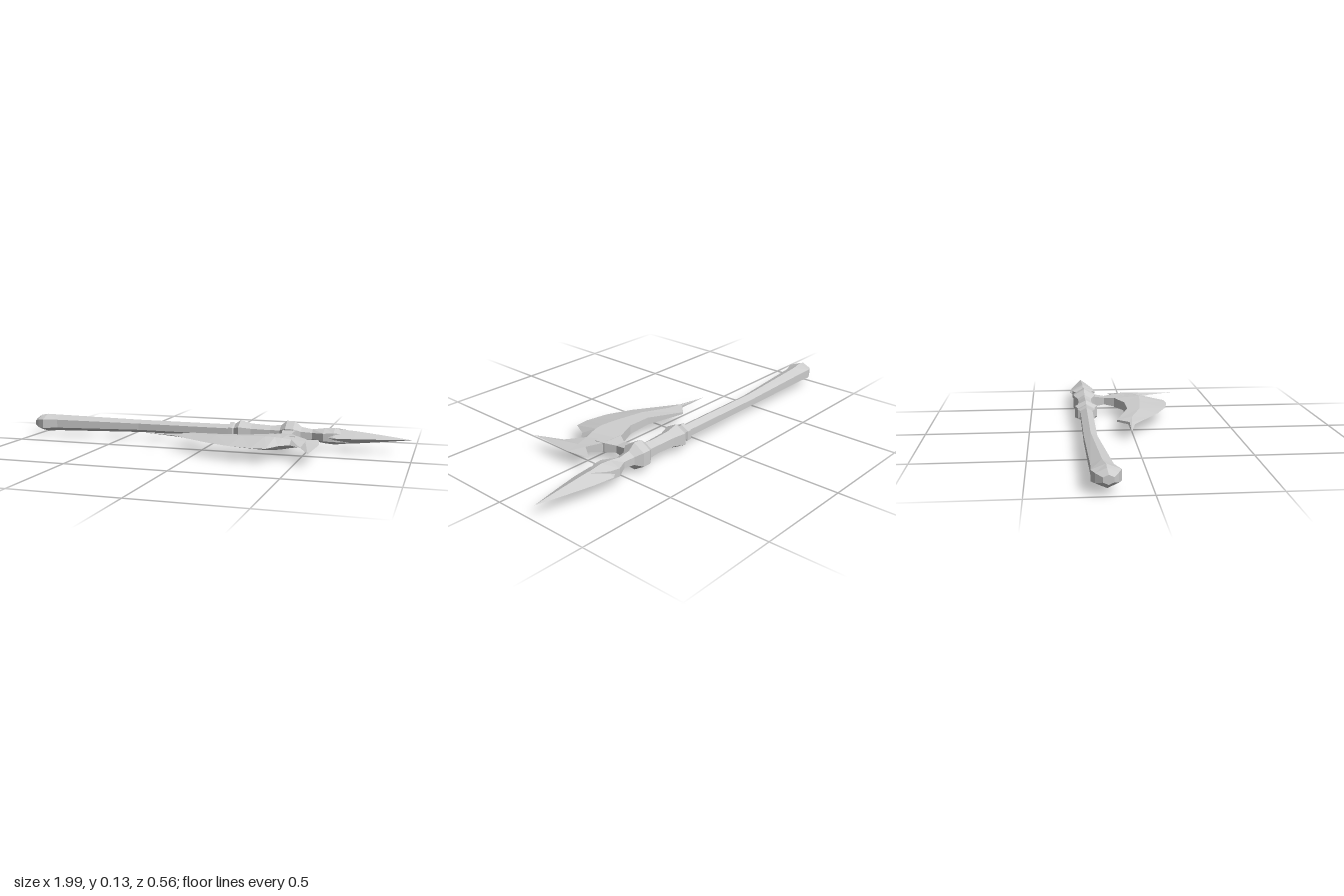
import * as THREE from 'three';

const CY = 0.067;   // height of the weapon's mid plane
const CZ = -0.217;  // depth of the shaft axis

// Skin a list of equal-length rings (counter-clockwise about the direction of travel), with end caps
function loft(rings) {
  const pos = [];
  const tri = (a, b, c) => pos.push(...a, ...b, ...c);
  const n = rings[0].length;
  for (let i = 0; i < rings.length - 1; i++) {
    for (let j = 0; j < n; j++) {
      const k = (j + 1) % n;
      const a = rings[i][j], b = rings[i][k], c = rings[i + 1][k], d = rings[i + 1][j];
      tri(a, b, c);
      tri(a, c, d);
    }
  }
  const first = rings[0], last = rings[rings.length - 1];
  for (let j = 1; j < n - 1; j++) {
    tri(first[0], first[j + 1], first[j]);
    tri(last[0], last[j], last[j + 1]);
  }
  const g = new THREE.BufferGeometry();
  g.setAttribute('position', new THREE.Float32BufferAttribute(pos, 3));
  g.computeVertexNormals();
  return g;
}

// Ring round the x axis: [x, y radius, z radius, z centre]
const ringX = (sides) => ([x, ry, rz, zc = CZ]) =>
  Array.from({ length: sides }, (_, j) => {
    const a = (j / sides) * Math.PI * 2;
    const s = sides === 6 ? Math.sin(a) / 0.866 : Math.sin(a);
    return [x, CY + Math.cos(a) * ry, zc + s * rz];
  });

export function createModel() {
  const group = new THREE.Group();
  const steel = new THREE.MeshStandardMaterial({ color: 0xcccccc, flatShading: true });
  steel.name = 'pale steel';
  const add = (name, rings) => {
    const mesh = new THREE.Mesh(loft(rings), steel);
    mesh.name = name;
    group.add(mesh);
  };

  // Six-sided shaft with a swollen, slightly bent pommel
  add('shaft', [
    [-1, 0.02, 0.022, -0.178],
    [-0.975, 0.04, 0.045, -0.183],
    [-0.94, 0.046, 0.06, -0.184],
    [-0.867, 0.043, 0.046, -0.195],
    [-0.41, 0.033, 0.03, -0.219],
    [0.08, 0.033, 0.03],
  ].map(ringX(6)));

  // Ringed collar
  add('collar', [
    [0.08, 0.033, 0.03],
    [0.085, 0.045, 0.043],
    [0.105, 0.045, 0.043],
    [0.112, 0.038, 0.036],
    [0.14, 0.058, 0.056],
    [0.2, 0.043, 0.038],
    [0.3, 0.038, 0.033],
  ].map(ringX(6)));

  // Faceted knob carrying the axe head
  add('knob', [
    [0.3, 0.038, 0.033],
    [0.35, 0.042, 0.036],
    [0.38, 0.066, 0.057],
    [0.42, 0.066, 0.057],
    [0.455, 0.038, 0.033],
    [0.51, 0.029, 0.026],
  ].map(ringX(6)));

  // Socket that flares, then narrows onto the spear blade
  add('spearSocket', [
    [0.51, 0.029, 0.026],
    [0.57, 0.038, 0.058],
    [0.62, 0.042, 0.05],
    [0.71, 0.03, 0.002],
  ].map(ringX(6)));

  // Diamond-section spear blade
  add('spearBlade', [
    [0.56, 0.02, 0.03],
    [0.62, 0.037, 0.072],
    [0.72, 0.031, 0.06],
    [0.85, 0.017, 0.033],
    [0.99, 0, 0],
  ].map(ringX(4)));

  // Neck from knob to axe blade: [z, x min, x max, half thickness]
  add('axeNeck', [
    [-0.2, 0.36, 0.44, 0.03],
    [-0.16, 0.368, 0.432, 0.026],
    [-0.11, 0.375, 0.425, 0.018],
    [-0.06, 0.345, 0.45, 0.023],
    [-0.01, 0.335, 0.46, 0.024],
  ].map(([z, x0, x1, h]) => [
    [x1, CY - h, z], [x1, CY + h, z], [x0, CY + h, z], [x0, CY - h, z],
  ]));

  // Axe blade: back x, z, half thickness; ridge x, z, half thickness; cutting edge x, z
  add('axeBlade', [
    [-0.295, -0.025, 0, -0.295, -0.025, 0, -0.295, -0.025],
    [-0.13, -0.02, 0.006, -0.14, -0.01, 0.007, -0.15, 0.005],
    [-0.075, -0.075, 0.005, -0.05, 0, 0.014, -0.03, 0.08],
    [0.11, -0.01, 0.018, 0.09, 0.05, 0.022, 0.065, 0.14],
    [0.235, -0.015, 0.022, 0.22, 0.065, 0.028, 0.19, 0.195],
    [0.34, -0.06, 0.024, 0.335, 0.072, 0.033, 0.3, 0.215],
    [0.38, -0.055, 0.024, 0.38, 0.068, 0.031, 0.37, 0.21],
    [0.42, -0.055, 0.024, 0.415, 0.06, 0.027, 0.41, 0.13],
    [0.455, -0.05, 0.022, 0.455, 0.05, 0.02, 0.455, 0.09],
    [0.52, -0.01, 0.014, 0.52, 0.04, 0.012, 0.515, 0.14],
    [0.565, -0.08, 0, 0.585, 0.04, 0, 0.575, 0.275],
  ].map(([bx, bz, bh, rx, rz, rh, ex, ez]) => [
    [bx, CY + bh, bz], [rx, CY + rh, rz], [ex, CY, ez],
    [rx, CY - rh, rz], [bx, CY - bh, bz],
  ]));

  return group;
}
